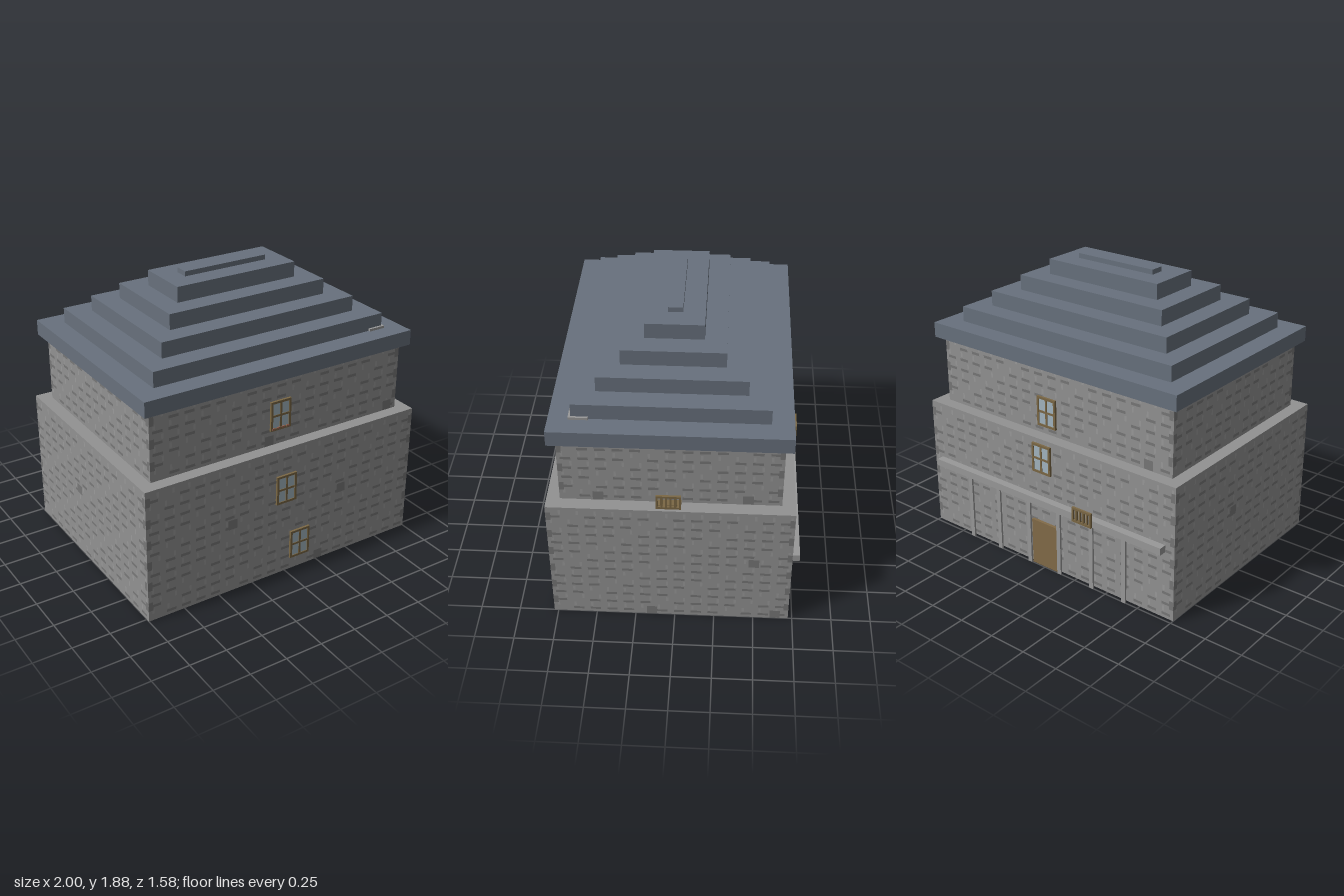
import * as THREE from 'three';
import { mergeGeometries } from 'three/addons/utils/BufferGeometryUtils.js';

const mat = (color) => new THREE.MeshStandardMaterial({ color });
const M = {
  stone: mat(0x929292), dark: mat(0x787878), pale: mat(0x9b9b9b), beam: mat(0x999999),
  roof: mat(0x68717d), wood: mat(0x7b6845), door: mat(0x826b48), glass: mat(0xa3b5c0), flower: mat(0x9a6550),
};
const ZC = 0.026; // the storeys and roof share this centre in z

// Box geometry given by its limits
function boxGeo(x0, x1, y0, y1, z0, z1) {
  return new THREE.BoxGeometry(x1 - x0, y1 - y0, z1 - z0)
    .translate((x0 + x1) / 2, (y0 + y1) / 2, (z0 + z1) / 2);
}
function box(parent, name, material, ...limits) {
  const mesh = new THREE.Mesh(boxGeo(...limits), material);
  mesh.name = name;
  parent.add(mesh);
  return mesh;
}
function merged(parent, name, material, geos) {
  const mesh = new THREE.Mesh(mergeGeometries(geos), material);
  mesh.name = name;
  parent.add(mesh);
}

// Thin upright patch in a wall's own plane
function patch(u, y, w, h, d) {
  return new THREE.PlaneGeometry(w, h).translate(u, y, d);
}

// Masonry relief: dark course joints, pale upright joints and corner stones
function masonry(wall, halfW, y0, y1) {
  const joints = [], uprights = [];
  const n = Math.round(halfW * 2 / 0.105), step = halfW * 2 / n;
  let row = 0;
  for (let y = y0 + 0.03; y < y1 - 0.01; y += 0.0725, row++) {
    for (let i = 0; i < n; i++) {
      const u = -halfW + (i + 0.5) * step;
      if ((i * 3 + row * 2) % 5 !== 0) joints.push(patch(u, y, step * 0.62, 0.018, 0.001));
      const v = u + (row % 2 ? 0.3 : -0.2) * step;
      if (y + 0.055 < y1) uprights.push(patch(v, y + 0.035, 0.014, 0.035, 0.001));
    }
    if (row % 2) for (const s of [-1, 1]) joints.push(patch(s * (halfW - 0.016), y, 0.03, 0.06, 0.0015));
  }
  merged(wall, 'courseJoints', M.dark, joints);
  merged(wall, 'uprightJoints', M.pale, uprights);
}

// Four-pane window with frame and crossbars
function windowAt(wall, u, y) {
  const g = new THREE.Group();
  g.name = 'window';
  g.position.set(u, y, 0);
  const w = 0.074, h = 0.099, t = 0.015;
  merged(g, 'windowFrame', M.wood, [
    boxGeo(-w, -w + t, -h, h, 0, 0.015), boxGeo(w - t, w, -h, h, 0, 0.015),
    boxGeo(-w + t, w - t, h - t, h, 0, 0.015), boxGeo(-w + t, w - t, -h, -h + t, 0, 0.015),
    boxGeo(-0.007, 0.007, -h + t, h - t, 0, 0.014), boxGeo(-w + t, w - t, -0.007, 0.007, 0, 0.014),
  ]);
  box(g, 'windowGlass', M.glass, -w + t, w - t, -h + t, h - t, 0, 0.01);
  wall.add(g);
  return g;
}

// Small balcony: floor slab and a barred railing in front of it
function balconyAt(wall, u, y) {
  const g = new THREE.Group();
  g.name = 'balcony';
  g.position.set(u, y, 0);
  box(g, 'balconyFloor', M.wood, -0.075, 0.075, 0, 0.018, 0, 0.05);
  const bars = [boxGeo(-0.075, 0.075, 0, 0.015, 0.05, 0.065), boxGeo(-0.075, 0.075, 0.086, 0.1, 0.05, 0.065)];
  for (let i = 0; i < 6; i++) {
    const x = -0.069 + i * 0.0276;
    bars.push(boxGeo(x - 0.006, x + 0.006, 0.015, 0.086, 0.05, 0.065));
  }
  merged(g, 'balconyRailing', M.wood, bars);
  wall.add(g);
}

// A storey with four wall groups, each facing along its own +z
function storey(parent, name, hx, hz, y0, y1) {
  box(parent, name, M.stone, -hx, hx, y0, y1, ZC - hz, ZC + hz);
  return [hz, hx, hz, hx].map((depth, i) => {
    const wall = new THREE.Group();
    const a = i * Math.PI / 2;
    wall.name = name + ['Front', 'LeftSide', 'Back', 'RightSide'][i] + 'Wall';
    wall.rotation.y = a;
    wall.position.set(Math.sin(a) * depth, 0, ZC + Math.cos(a) * depth);
    masonry(wall, i % 2 ? hz : hx, y0, y1);
    parent.add(wall);
    return wall;
  });
}

// Odd dark stones set into a wall
function darkStones(wall, spots) {
  merged(wall, 'darkStones', M.dark, spots.map(([u, y]) => patch(u, y, 0.065, 0.065, 0.002)));
}

export function createModel() {
  const model = new THREE.Group();
  model.name = 'house';

  const lower = storey(model, 'lowerStorey', 1, 0.75, 0, 0.9);
  const upper = storey(model, 'upperStorey', 0.917, 0.668, 0.9, 1.35);

  // Windows
  windowAt(lower[0], -0.008, 0.62);
  windowAt(lower[0], 0.107, 0.187);
  windowAt(lower[2], -0.02, 0.768);
  windowAt(upper[2], -0.04, 1.05);
  const flowered = windowAt(upper[0], -0.008, 1.1);
  for (let i = 0; i < 4; i++) {
    const x = -0.054 + i * 0.036;
    box(flowered, 'flower', M.flower, x - 0.012, x + 0.012, -0.092, -0.08, 0.005, 0.017);
  }

  // Dark stones (u runs to the right of whoever faces the wall)
  darkStones(lower[0], [[-0.4, 0.485], [0.43, 0.485], [0.265, 0.035]]);
  darkStones(upper[0], [[-0.085, 0.935], [0.845, 0.935]]);
  darkStones(lower[1], [[0.515, 0.485], [-0.12, 0.035], [0.665, 0.035]]);
  darkStones(upper[1], [[-0.435, 0.935], [0.465, 0.935]]);
  darkStones(upper[2], [[0.745, 0.935]]);
  darkStones(lower[3], [[-0.13, 0.485]]);

  // Balconies
  balconyAt(upper[1], -0.01, 0.9);
  balconyAt(lower[2], 0.345, 0.455);

  // Back porch: beam, slim posts and door
  box(lower[2], 'porchBeam', M.beam, -0.933, 0.933, 0.455, 0.502, 0, 0.05);
  for (const x of [0.125, 0.39, 0.645])
    for (const s of [-1, 1])
      box(lower[2], 'porchPost', M.beam, s * x - 0.015, s * x + 0.015, 0, 0.455, 0.018, 0.031);
  box(lower[2], 'door', M.door, -0.105, 0.105, 0, 0.32, 0, 0.02);

  // Stepped roof, each tier inset evenly, with a low ridge
  for (let i = 0; i < 6; i++) {
    const hx = 0.965 - i * 0.134, hz = 0.715 - i * 0.134, y = 1.35 + i * 0.1;
    box(model, i < 5 ? 'roofTier' : 'roofRidge', M.roof, -hx, hx, y, i < 5 ? y + 0.1 : 1.882, ZC - hz, ZC + hz);
  }
  box(model, 'roofCornerSlab', M.beam, 0.73, 0.845, 1.45, 1.466, 0.505, 0.622);

  return model;
}
